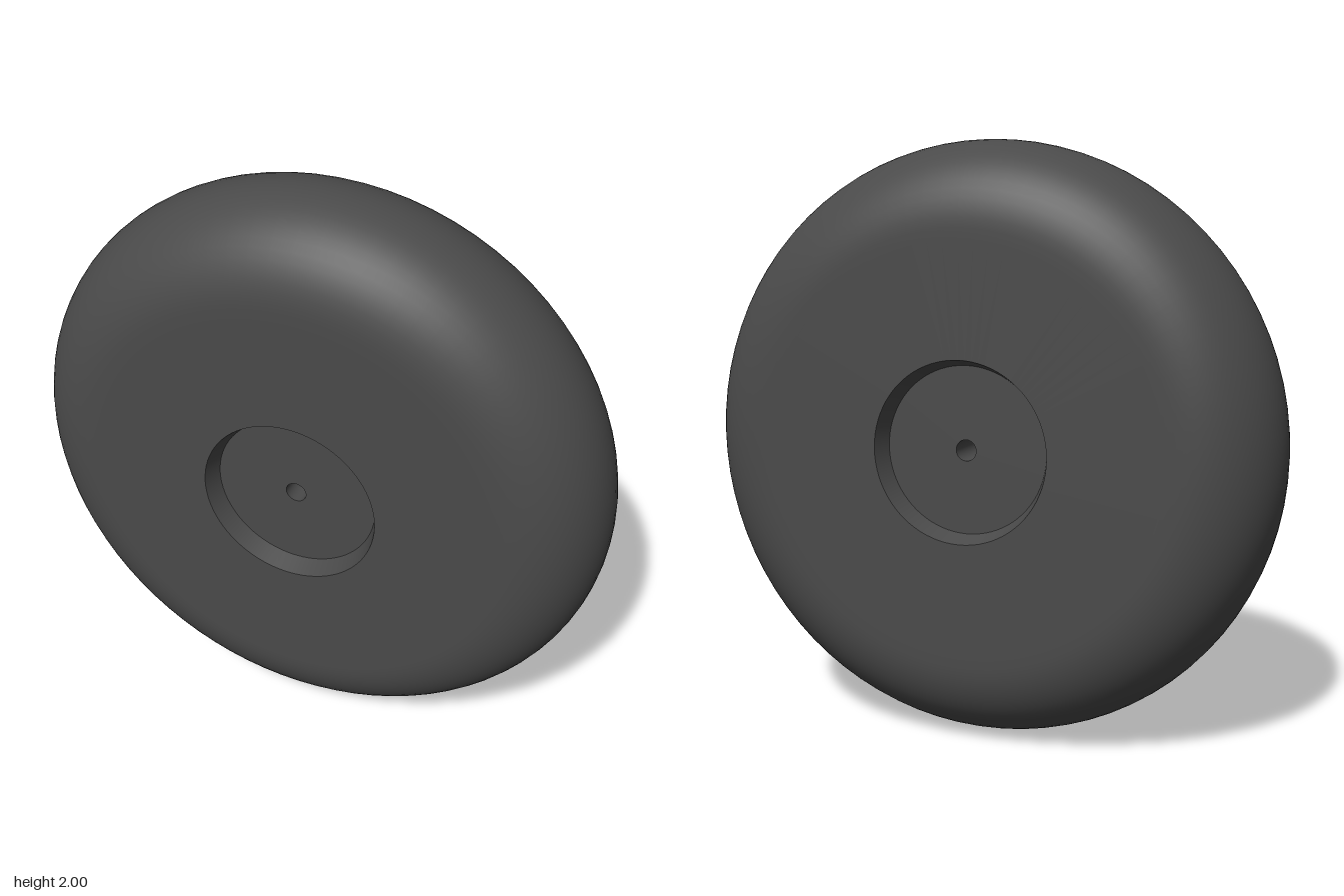
import * as THREE from 'three';

const R = 1, HALF = 0.285;         // wheel radius, half width
const RIM = 0.3, FLOOR = 0.277;    // recess radius at its edge and at its floor
const DEPTH_Z = 0.22, BORE = 0.035; // recess floor position, axle hole radius

export function createModel() {
  const group = new THREE.Group();
  group.name = 'wheel';
  const material = new THREE.MeshStandardMaterial({ color: 0x4a4a4a });

  // Revolves a [radius, z] profile around the z axis; sharp edges fall between parts
  function revolve(name, profile) {
    const geometry = new THREE.LatheGeometry(profile.map(([r, z]) => new THREE.Vector2(r, z)), 80);
    geometry.rotateX(Math.PI / 2);
    const mesh = new THREE.Mesh(geometry, material);
    mesh.name = name;
    mesh.position.y = R;
    group.add(mesh);
  }

  // Tire: flat side, half-round tread, flat side
  const tire = [[RIM, -HALF], [0.68, -HALF]];
  const steps = 28;
  for (let i = 0; i <= steps; i++) {
    const a = -Math.PI / 2 + (Math.PI * i) / steps;
    tire.push([R - HALF + HALF * Math.cos(a), HALF * Math.sin(a)]);
  }
  tire.push([0.68, HALF], [RIM, HALF]);
  revolve('tire', tire);

  // Tapered hub recess on both sides
  revolve('frontRecessWall', [[RIM, HALF], [FLOOR, DEPTH_Z]]);
  revolve('frontHubFace', [[FLOOR, DEPTH_Z], [BORE, DEPTH_Z]]);
  revolve('backRecessWall', [[FLOOR, -DEPTH_Z], [RIM, -HALF]]);
  revolve('backHubFace', [[BORE, -DEPTH_Z], [FLOOR, -DEPTH_Z]]);

  // Axle hole through the hub
  revolve('axleHole', [[BORE, DEPTH_Z], [BORE, -DEPTH_Z]]);

  return group;
}
